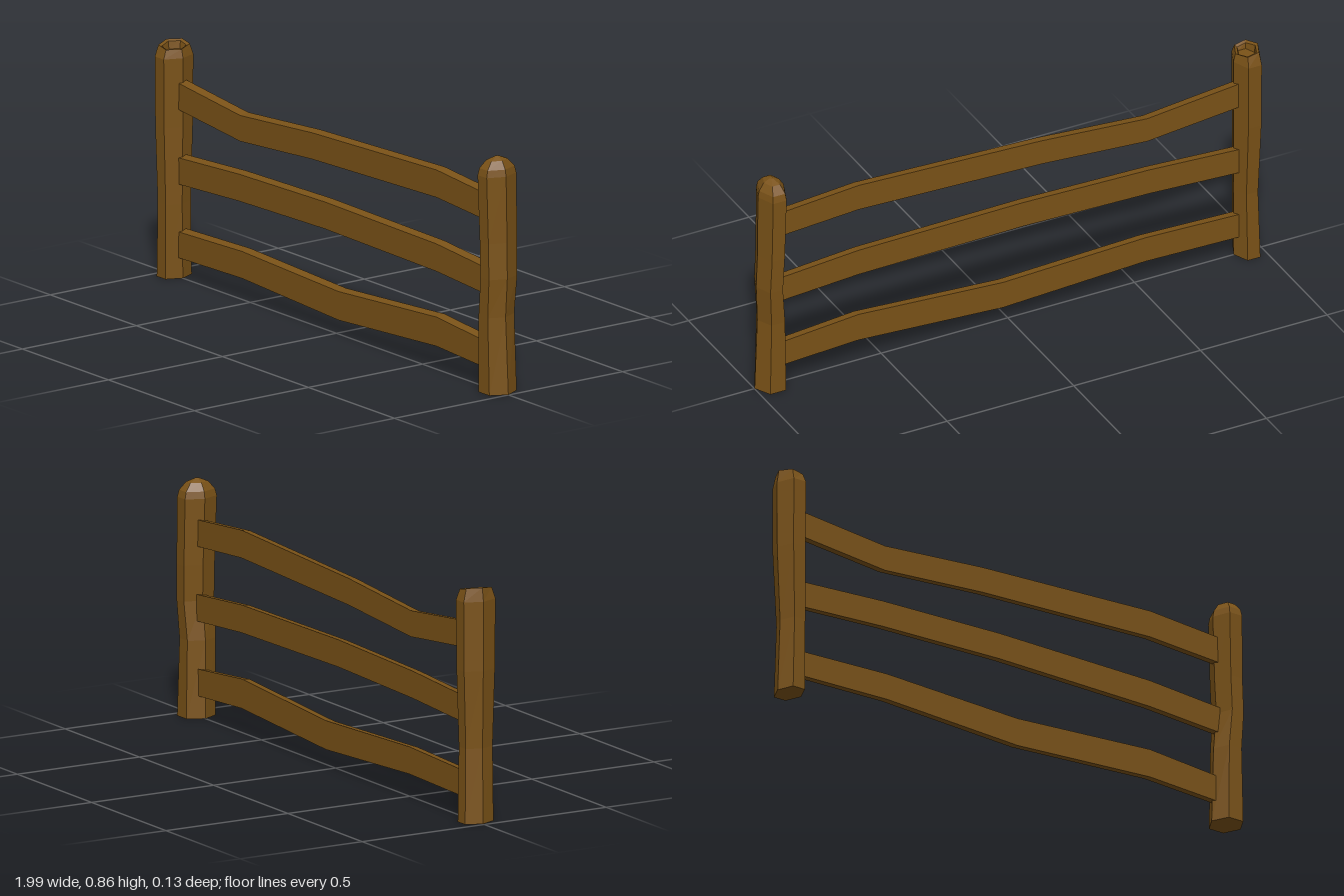
import * as THREE from 'three';

const wood = new THREE.MeshStandardMaterial({ color: 0x7a5217, flatShading: true });

// Skins a list of equal-length rings (counter-clockwise about the direction of travel) and caps both ends
function loft(name, rings) {
  const pos = [];
  const tri = (...pts) => pts.forEach((p) => pos.push(p.x, p.y, p.z));
  const n = rings[0].length;
  const centre = (ring) => ring.reduce((s, p) => s.add(p), new THREE.Vector3()).divideScalar(n);
  const first = rings[0], last = rings[rings.length - 1];
  const c0 = centre(first), c1 = centre(last);
  for (let j = 0; j < n; j++) {
    const k = (j + 1) % n;
    for (let i = 0; i < rings.length - 1; i++) {
      const lo = rings[i], hi = rings[i + 1];
      tri(lo[j], lo[k], hi[k]);
      tri(lo[j], hi[k], hi[j]);
    }
    tri(c0, first[k], first[j]);
    tri(c1, last[j], last[k]);
  }
  const geometry = new THREE.BufferGeometry();
  geometry.setAttribute('position', new THREE.Float32BufferAttribute(pos, 3));
  geometry.computeVertexNormals();
  const mesh = new THREE.Mesh(geometry, wood);
  mesh.name = name;
  return mesh;
}

// Hexagonal post; each level is [y, centre x, centre z, radius x, half depth, tilt along x, tilt along z]
function post(name, levels) {
  return loft(name, levels.map(([y, cx, cz, rx, rz, tiltX = 0, tiltZ = 0]) =>
    Array.from({ length: 6 }, (_, j) => {
      const a = (j * Math.PI) / 3;
      const u = Math.cos(a), v = -Math.sin(a) / Math.sin(Math.PI / 3);
      return new THREE.Vector3(cx + rx * u, y + tiltX * u + tiltZ * v, cz + rz * v);
    })));
}

// Flat plank following [x, centre y, half height] stations
function rail(name, stations) {
  const back = -0.021, front = 0.014;
  return loft(name, stations.map(([x, y, h]) => [
    new THREE.Vector3(x, y + h, back),
    new THREE.Vector3(x, y + h - 0.006, front),
    new THREE.Vector3(x, y - h, front),
    new THREE.Vector3(x, y - h + 0.006, back),
  ]));
}

export function createModel() {
  const group = new THREE.Group();
  group.name = 'fence';

  // Post with a slanted rim and a sunken top
  group.add(post('rightPost', [
    [0, -0.942, 0, 0.05, 0.058],
    [0.27, -0.938, 0.003, 0.046, 0.055],
    [0.55, -0.943, 0, 0.051, 0.063],
    [0.8, -0.943, 0, 0.052, 0.065],
    [0.84, -0.943, 0, 0.044, 0.052, -0.009, -0.003],
    [0.835, -0.943, 0, 0.034, 0.041, -0.008, -0.003],
    [0.815, -0.943, 0, 0.03, 0.036],
  ]));

  // Bent post with a rounded top
  group.add(post('leftPost', [
    [0, 0.937, 0, 0.062, 0.06],
    [0.28, 0.934, 0.003, 0.053, 0.058],
    [0.42, 0.944, 0, 0.049, 0.062],
    [0.55, 0.939, -0.002, 0.05, 0.063],
    [0.79, 0.933, 0, 0.053, 0.065],
    [0.815, 0.933, 0, 0.048, 0.059],
    [0.843, 0.933, 0, 0.03, 0.036],
    [0.855, 0.933, 0, 0.006, 0.007],
  ]));

  // Three wavy rails
  group.add(rail('bottomRail', [
    [-0.91, 0.125, 0.05], [-0.53, 0.135, 0.052], [0.03, 0.112, 0.055],
    [0.6, 0.146, 0.056], [0.91, 0.125, 0.051],
  ]));
  group.add(rail('middleRail', [
    [-0.91, 0.393, 0.051], [-0.55, 0.412, 0.052], [-0.05, 0.423, 0.052],
    [0.6, 0.415, 0.053], [0.91, 0.393, 0.051],
  ]));
  group.add(rail('topRail', [
    [-0.91, 0.666, 0.051], [-0.54, 0.629, 0.05], [-0.12, 0.659, 0.051],
    [0.6, 0.684, 0.053], [0.91, 0.662, 0.051],
  ]));
  return group;
}
